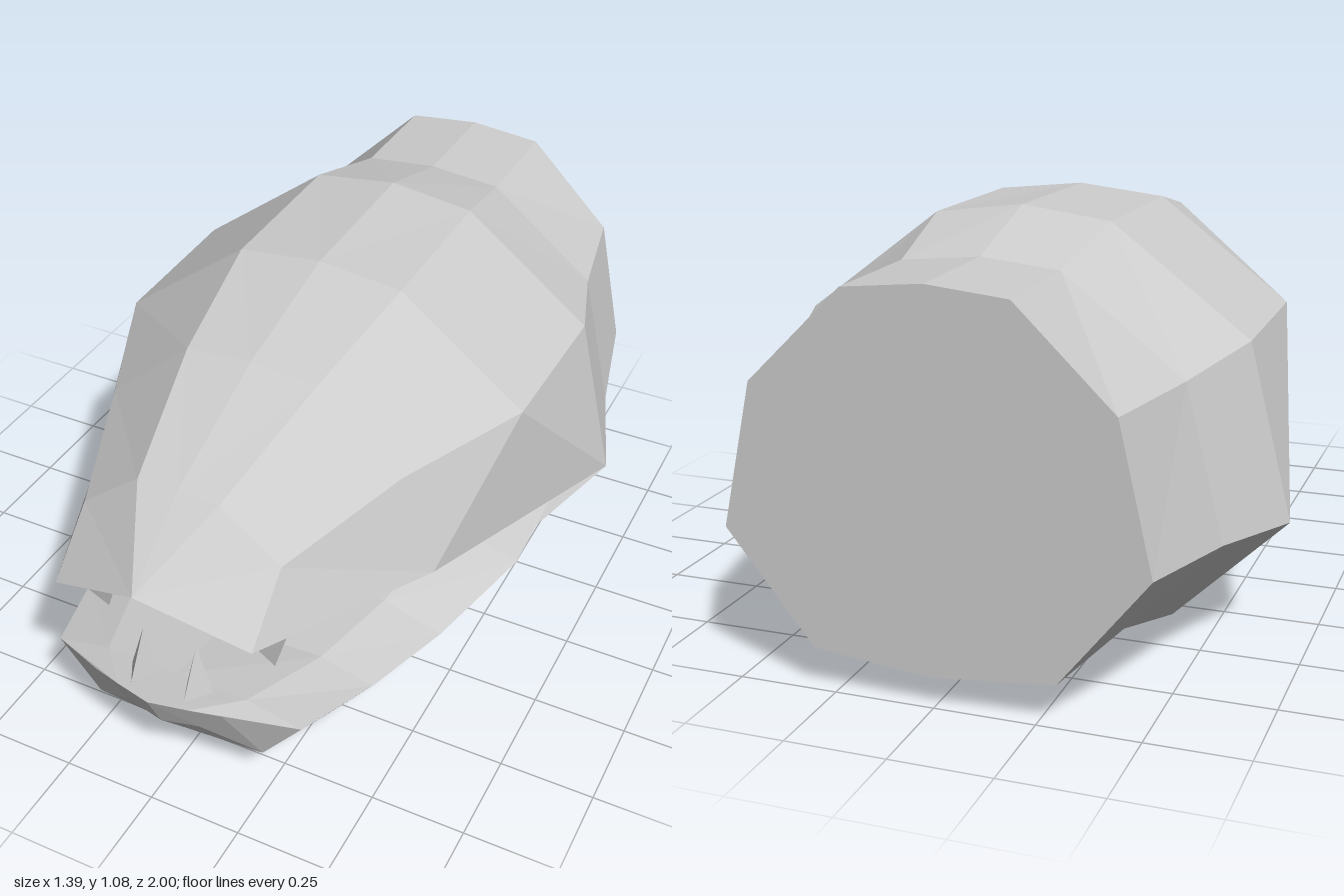
import * as THREE from 'three';

// Mirrored low-poly skin: rows run back to front, points run top to bottom on the +x half.
function skin(name, rows, material) {
  const pos = [];
  const same = (p, q) => p.every((v, i) => Math.abs(v - q[i]) < 1e-6);
  const tri = (a, b, c) => {
    if (same(a, b) || same(b, c) || same(a, c)) return;
    pos.push(...a, ...b, ...c);
    for (const [x, y, z] of [a, c, b]) pos.push(-x, y, z);
  };
  for (let i = 0; i < rows.length - 1; i++) {
    for (let j = 0; j < rows[i].length - 1; j++) {
      const a = rows[i][j], b = rows[i + 1][j], c = rows[i + 1][j + 1], d = rows[i][j + 1];
      tri(a, b, d);
      tri(b, c, d);
    }
  }
  const geometry = new THREE.BufferGeometry();
  geometry.setAttribute('position', new THREE.Float32BufferAttribute(pos, 3));
  geometry.computeVertexNormals();
  const mesh = new THREE.Mesh(geometry, material);
  mesh.name = name;
  return mesh;
}

// Cross-section at one depth, from x, y pairs
const ring = (z, pts) => pts.map(([x, y]) => [x, y, z]);

export function createModel() {
  const group = new THREE.Group();
  group.name = 'serpentHead';
  const grey = new THREE.MeshStandardMaterial({ color: 0xcccccc, side: THREE.DoubleSide, flatShading: true });
  grey.name = 'plain grey';
  const add = (name, rows) => group.add(skin(name, rows, grey));

  // Neck and back of the head, ten-sided
  const neckEnd = ring(-1, [[0, 1], [0.2, 0.98], [0.44, 0.745], [0.52, 0.385], [0.3, 0.11], [0, 0.08]]);
  const widest = ring(-0.4, [[0, 1.08], [0.23, 1.05], [0.585, 0.78], [0.695, 0.33], [0.4, 0.045], [0, 0.005]]);
  add('neck', [
    neckEnd,
    ring(-0.68, [[0, 1], [0.2, 0.98], [0.5, 0.745], [0.595, 0.36], [0.34, 0.11], [0, 0.08]]),
    widest,
  ]);
  add('neckCap', [neckEnd.map(() => [0, 0.54, -1]), neckEnd]);

  // Upper jaw and snout
  const corner = widest[3], midLip = [0.5, 0.495, 0.41], frontLip = [0.27, 0.57, 0.93], tip = [0, 0.69, 1];
  add('upperJaw', [
    widest.slice(0, 4),
    [...ring(0.05, [[0, 1.07], [0.23, 1.045], [0.577, 0.78]]), midLip],
    [...ring(0.42, [[0, 0.985], [0.18, 0.97], [0.41, 0.77]]), midLip],
    [...ring(0.78, [[0, 0.845], [0.11, 0.84], [0.27, 0.715]]), frontLip],
    [tip, tip, tip, frontLip],
  ]);
  add('mouthRoof', [
    [corner, [0.3, 0.33, -0.4], [0, 0.33, -0.4]],
    [[0.608, 0.401, -0.05], [0.3, 0.358, -0.05], [0, 0.358, -0.05]],
    [midLip, [0.25, 0.497, 0.41], [0, 0.5, 0.41]],
    [frontLip, [0.135, 0.63, 0.965], tip],
  ]);

  // Throat below the mouth corner
  const throatSide = [0.4, 0.05, 0.05], throatMid = [0, 0.012, 0.05];
  add('throat', [widest.slice(3), [corner, throatSide, throatMid]]);
  add('throatWall', [[[0, 0.33, -0.4], corner], [throatMid, throatSide]]);

  // Lower jaw: floor centre, inner ridge, rim, underside, keel
  const jawTip = [0, 0.33, 0.98], chin = [0, 0.22, 0.93];
  add('lowerJaw', [
    ring(-0.33, [[0, 0.32], [0.4, 0.34], [0.595, 0.325], [0.4, 0.06], [0, 0.04]]),
    [[0, 0.335, -0.1], [0.4, 0.357, -0.1], [0.597, 0.302, -0.14], [0.4, 0.055, -0.1], [0, 0.035, -0.1]],
    ring(0.05, [[0, 0.31], [0.4, 0.335], [0.597, 0.28], [0.4, 0.05], [0, 0.03]]),
    ring(0.35, [[0, 0.265], [0.34, 0.28], [0.505, 0.23], [0.36, 0.04], [0, 0.004]]),
    ring(0.6, [[0, 0.26], [0.28, 0.27], [0.425, 0.23], [0.3, 0.07], [0, 0.037]]),
    ring(0.845, [[0, 0.305], [0.2, 0.305], [0.35, 0.273], [0.24, 0.135], [0, 0.115]]),
    [jawTip, [0.1, 0.325, 0.955], [0.18, 0.317, 0.93], [0.1, 0.225, 0.91], chin],
    [jawTip, jawTip, jawTip, chin, chin],
  ]);

  // Three-sided fangs, one call per mirrored pair
  const fangs = (name, tipPoint, base) =>
    add(name, [base.map(() => tipPoint), base]);
  fangs('upperFangs', [0.24, 0.372, 0.77],
    [[0.17, 0.565, 0.79], [0.3, 0.565, 0.77], [0.24, 0.56, 0.89], [0.17, 0.565, 0.79]]);
  fangs('lowerFangs', [0.075, 0.445, 0.862],
    [[0.04, 0.3, 0.862], [0.075, 0.31, 0.94], [0.12, 0.3, 0.862], [0.04, 0.3, 0.862]]);

  return group;
}
